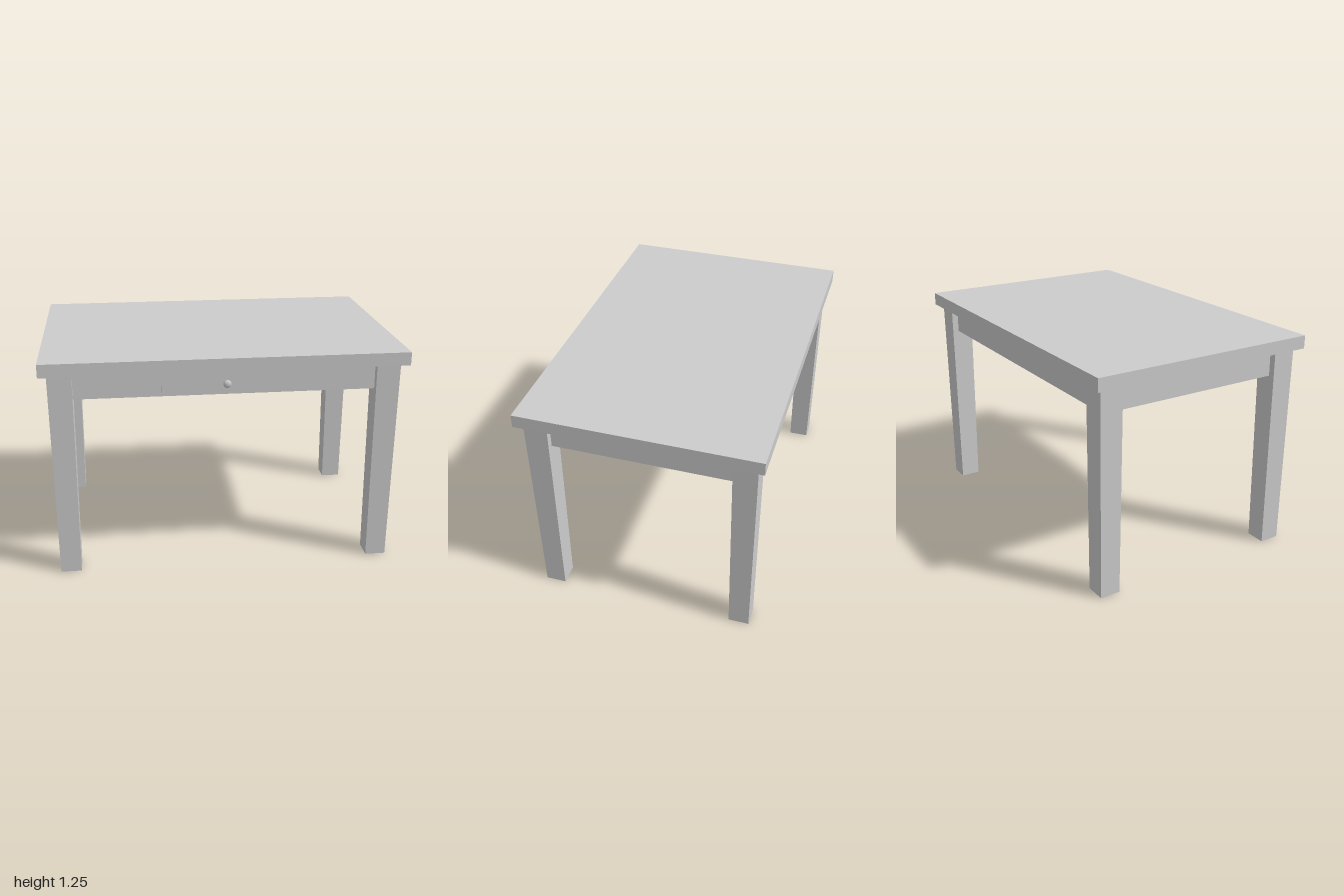
import * as THREE from 'three';

export function createModel() {
  const table = new THREE.Group();
  table.name = 'table';
  const grey = new THREE.MeshStandardMaterial({ color: 0xcccccc });
  grey.name = 'grey';

  const add = (name, geometry, x, y, z) => {
    const mesh = new THREE.Mesh(geometry, grey);
    mesh.name = name;
    mesh.position.set(x, y, z);
    table.add(mesh);
    return mesh;
  };
  const box = (name, w, h, d, x, y, z) => add(name, new THREE.BoxGeometry(w, h, d), x, y, z);

  // Table top slab
  const under = 1.18, top = 1.254;
  box('tableTop', 2, top - under, 1.334, 0, (top + under) / 2, 0);

  // Square legs, narrowing towards the floor
  const legX = 0.892, legZ = 0.562, topHalf = 0.066, footHalf = 0.058;
  const makeLeg = () => {
    const leg = new THREE.BoxGeometry(2, under, 2);
    const p = leg.attributes.position;
    for (let i = 0; i < p.count; i++) {
      const half = p.getY(i) > 0 ? topHalf : footHalf;
      p.setX(i, p.getX(i) * half);
      p.setZ(i, p.getZ(i) * half);
    }
    leg.computeVertexNormals();
    return leg;
  };
  for (const sx of [-1, 1]) {
    for (const sz of [-1, 1]) {
      const name = (sz > 0 ? 'front' : 'back') + (sx > 0 ? 'Left' : 'Right') + 'Leg';
      add(name, makeLeg(), sx * legX, under / 2, sz * legZ);
    }
  }

  // Thin apron boards between the legs, set back from their outer faces
  const apronH = 0.15, apronY = under - apronH / 2, thick = 0.01;
  const faceX = 0.92, faceZ = 0.59;
  for (const s of [-1, 1]) {
    box(s > 0 ? 'frontApron' : 'backApron',
      2 * (legX - topHalf) + 0.02, apronH, thick, 0, apronY, s * (faceZ - thick / 2));
    box(s > 0 ? 'leftApron' : 'rightApron',
      thick, apronH, 2 * (legZ - topHalf) + 0.02, s * (faceX - thick / 2), apronY, 0);
  }

  // Drawer front with a turned knob
  const drawerD = 0.016, drawerZ = faceZ + drawerD;
  box('drawerFront', 0.702, 0.116, drawerD, 0, 1.103, faceZ + drawerD / 2);
  const profile = [[0.012, 0], [0.012, 0.022], [0.022, 0.03], [0.022, 0.034], [0.016, 0.047], [0, 0.047]]
    .map(([r, h]) => new THREE.Vector2(r, h));
  const knob = new THREE.LatheGeometry(profile, 16);
  knob.rotateX(Math.PI / 2);
  add('drawerKnob', knob, 0, 1.103, drawerZ);

  return table;
}
